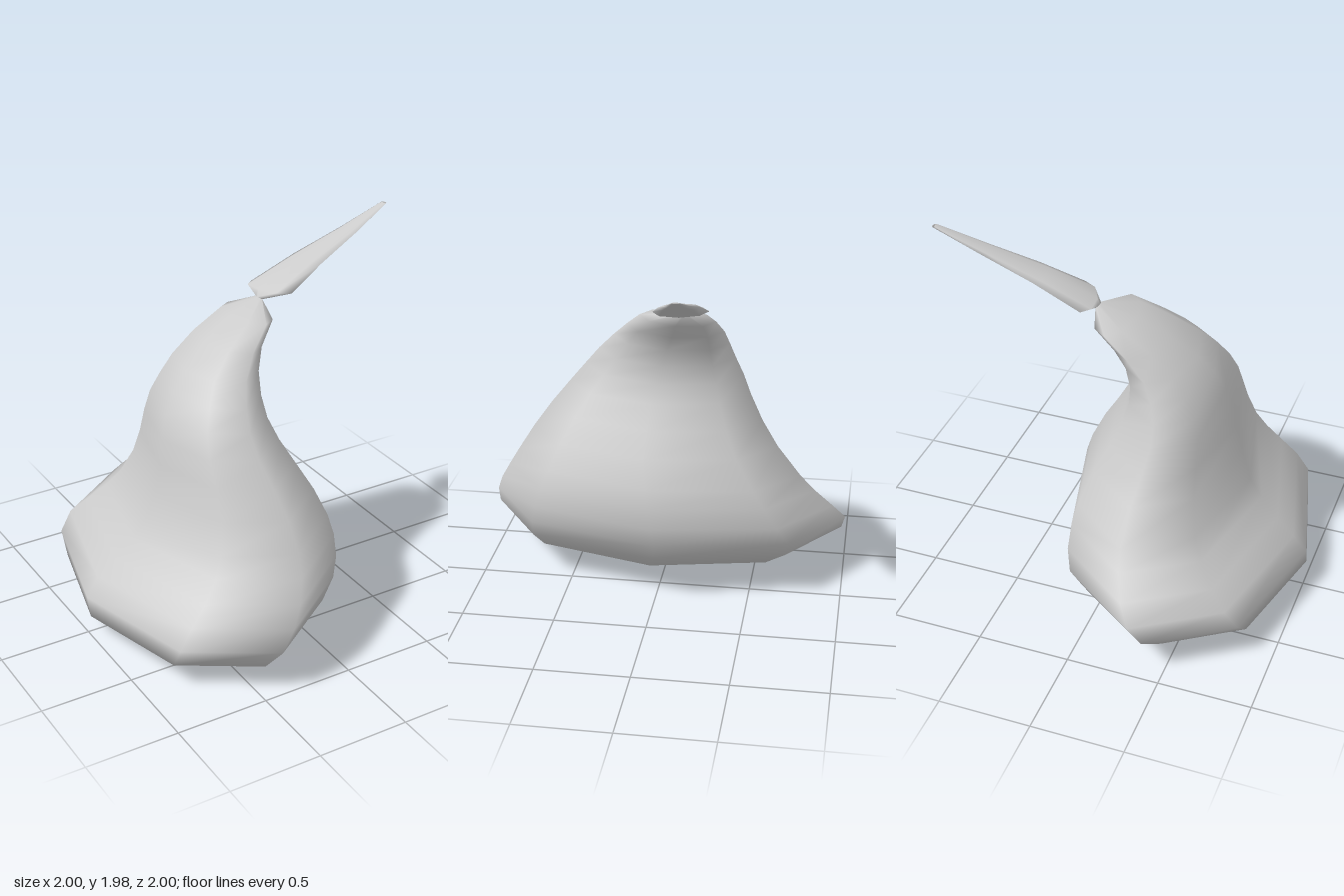
import * as THREE from 'three';

const SIDES = 8;

// Each ring: [left x, left y, right x, right y, front z, front y, back z, back y, sideways skew]
const bodyRings = [
  [-0.66, 0.00, -0.13, 0.07, 0.72, 0.07, -0.50, 0.07],
  [-1.00, 0.14, 0.08, 0.16, 0.93, 0.17, -0.84, 0.14],
  [-1.00, 0.24, 0.20, 0.27, 1.00, 0.27, -0.98, 0.24],
  [-0.93, 0.34, 0.27, 0.38, 0.99, 0.38, -1.00, 0.34],
  [-0.83, 0.43, 0.29, 0.49, 0.95, 0.48, -0.93, 0.43],
  [-0.73, 0.53, 0.28, 0.60, 0.89, 0.59, -0.83, 0.54],
  [-0.66, 0.63, 0.25, 0.70, 0.83, 0.69, -0.75, 0.63],
  [-0.60, 0.79, 0.18, 0.84, 0.74, 0.84, -0.62, 0.80],
  [-0.57, 0.94, 0.10, 0.97, 0.64, 0.98, -0.53, 0.94],
  [-0.55, 1.08, 0.03, 1.10, 0.54, 1.10, -0.46, 1.08],
  [-0.51, 1.20, -0.01, 1.20, 0.45, 1.21, -0.42, 1.19],
  [-0.45, 1.30, -0.02, 1.30, 0.37, 1.31, -0.38, 1.29],
  [-0.37, 1.40, 0.00, 1.40, 0.28, 1.41, -0.35, 1.39],
  [-0.23, 1.51, 0.05, 1.49, 0.19, 1.51, -0.33, 1.49],
  [-0.06, 1.61, 0.15, 1.59, 0.10, 1.61, -0.30, 1.59],
  [0.13, 1.66, 0.15, 1.65, -0.10, 1.66, -0.16, 1.66],
];

const stemRings = [
  [0.13, 1.66, 0.15, 1.65, -0.10, 1.66, -0.16, 1.66],
  [0.14, 1.70, 0.30, 1.69, 0.00, 1.70, -0.28, 1.69, 0.04],
  [0.40, 1.80, 0.52, 1.80, -0.06, 1.80, -0.265, 1.80, 0.02],
  [0.70, 1.90, 0.77, 1.90, -0.13, 1.90, -0.25, 1.90, 0.01],
  [0.975, 2.00, 1.00, 2.00, -0.20, 2.00, -0.24, 2.00],
];

// Skin over tilted elliptical rings, closed by a fan at the chosen ends
function loft(rings, capStart, capEnd) {
  const positions = [], indices = [];
  rings.forEach(([xl, yl, xr, yr, zf, yf, zb, yb, skew = 0]) => {
    for (let i = 0; i < SIDES; i++) {
      const a = (i / SIDES) * Math.PI * 2;
      const c = Math.cos(a), s = Math.sin(a);
      positions.push(
        (xl + xr) / 2 + ((xr - xl) / 2) * c + skew * s,
        (yl + yr + yf + yb) / 4 + ((yr - yl) / 2) * c + ((yf - yb) / 2) * s,
        (zf + zb) / 2 + ((zf - zb) / 2) * s
      );
    }
  });
  for (let r = 0; r < rings.length - 1; r++) {
    for (let i = 0; i < SIDES; i++) {
      const a = r * SIDES + i, b = r * SIDES + (i + 1) % SIDES;
      indices.push(a, a + SIDES, b, b, a + SIDES, b + SIDES);
    }
  }
  const cap = (r, up) => {
    const [xl, yl, xr, yr, zf, yf, zb, yb] = rings[r];
    const centre = positions.length / 3;
    positions.push((xl + xr) / 2, (yl + yr + yf + yb) / 4, (zf + zb) / 2);
    for (let i = 0; i < SIDES; i++) {
      const a = r * SIDES + i, b = r * SIDES + (i + 1) % SIDES;
      indices.push(centre, up ? b : a, up ? a : b);
    }
  };
  if (capStart) cap(0, false);
  if (capEnd) cap(rings.length - 1, true);
  const geometry = new THREE.BufferGeometry();
  geometry.setAttribute('position', new THREE.Float32BufferAttribute(positions, 3));
  geometry.setIndex(indices);
  geometry.computeVertexNormals();
  return geometry;
}

export function createModel() {
  const group = new THREE.Group();
  const material = new THREE.MeshStandardMaterial({ color: 0xcccccc });

  // Broad leaning body that narrows to a pinched neck
  const body = new THREE.Mesh(loft(bodyRings, true, false), material);
  body.name = 'body';

  // Thin tapering stem growing sideways out of the neck
  const stem = new THREE.Mesh(loft(stemRings, false, true), material);
  stem.name = 'stem';

  group.add(body, stem);
  return group;
}
